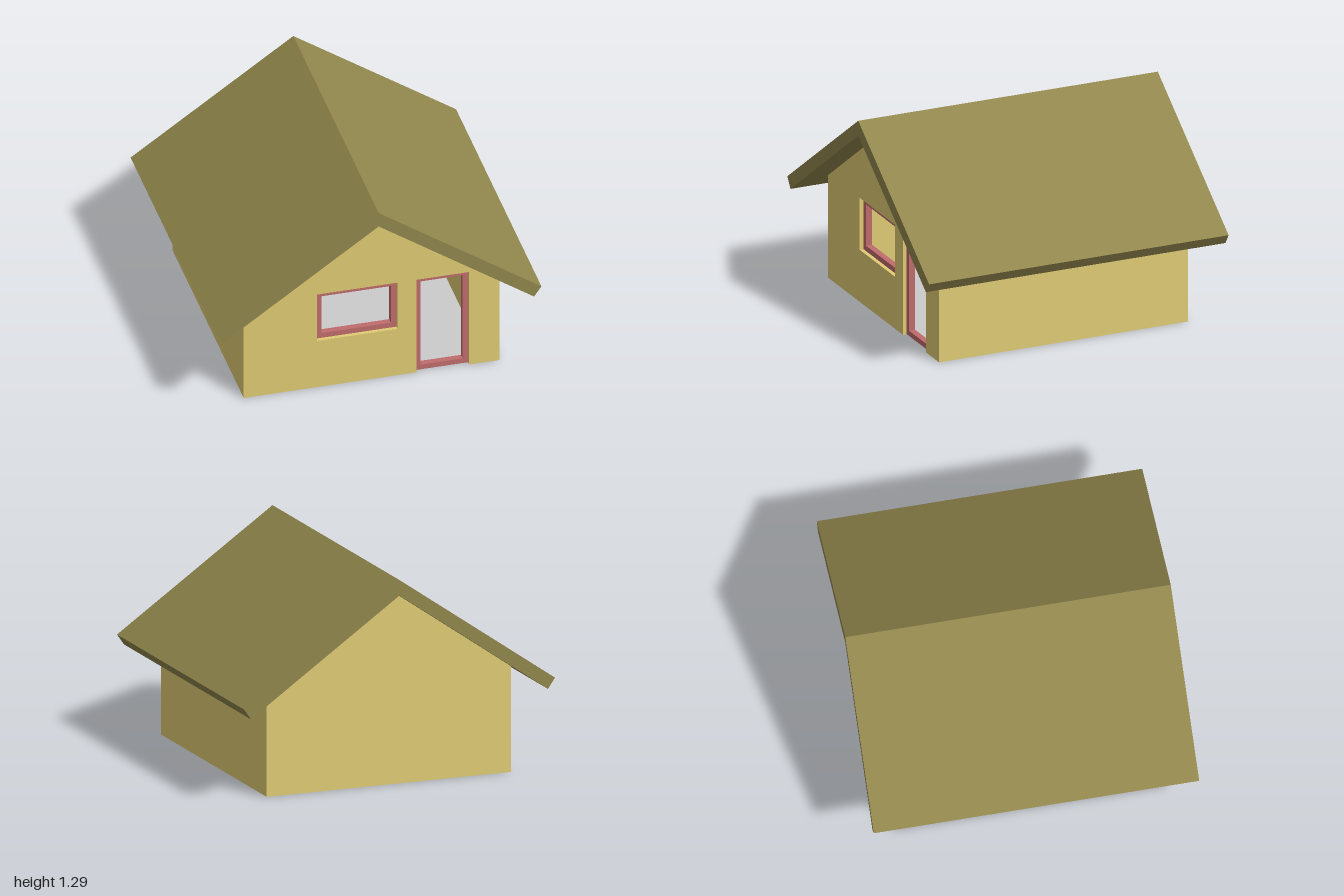
import * as THREE from 'three';

const HALF_W = 0.785, HALF_D = 0.815, WALL = 0.08; // house footprint and wall thickness
const APEX = 1.195, SLOPE = 0.696;                 // underside of the roof
const ROOF_HALF_D = 0.98;
const FRAME_DEPTH = 0.04, RECESS = 0.025;
const WINDOW = { x0: -0.335, x1: 0.16, y0: 0.33, y1: 0.66, border: 0.034 };
const DOOR = { x0: 0.275, x1: 0.6, y0: 0, y1: 0.66, border: 0.033 };

const mat = (color) => new THREE.MeshStandardMaterial({ color });
const points = (list) => list.map(([x, y]) => new THREE.Vector2(x, y));
const underRoof = (x) => APEX - SLOPE * Math.abs(x);
const rect = ({ x0, x1, y0, y1 }, inset = 0) => points([
  [x0 + inset, y0 + inset], [x1 - inset, y0 + inset],
  [x1 - inset, y1 - inset], [x0 + inset, y1 - inset],
]);

// Extrudes an outline from z0 to z1, cutting out the given holes
function slab(name, outline, holes, z0, z1, material) {
  const shape = new THREE.Shape(outline);
  holes.forEach((h) => shape.holes.push(new THREE.Path(h)));
  const geo = new THREE.ExtrudeGeometry(shape, { depth: z1 - z0, bevelEnabled: false });
  geo.translate(0, 0, z0);
  const mesh = new THREE.Mesh(geo, material);
  mesh.name = name;
  return mesh;
}

export function createModel() {
  const house = new THREE.Group();
  house.name = 'house';
  const wallMat = mat(0xe0cc74), roofMat = mat(0x92874d), frameMat = mat(0xc06c6c);
  const eave = underRoof(HALF_W);
  const inner = HALF_W - WALL;

  // Front gable: the door is a notch in the bottom edge, the window a hole
  house.add(slab('frontWall', points([
    [-HALF_W, 0], [DOOR.x0, 0], [DOOR.x0, DOOR.y1], [DOOR.x1, DOOR.y1], [DOOR.x1, 0],
    [HALF_W, 0], [HALF_W, eave], [0, APEX], [-HALF_W, eave],
  ]), [rect(WINDOW)], HALF_D - WALL, HALF_D, wallMat));

  // Plain back gable
  house.add(slab('backWall', points([
    [-HALF_W, 0], [HALF_W, 0], [HALF_W, eave], [0, APEX], [-HALF_W, eave],
  ]), [], -HALF_D, -HALF_D + WALL, wallMat));

  // Side walls with tops cut to the roof pitch
  for (const [name, s] of [['leftWall', 1], ['rightWall', -1]]) {
    house.add(slab(name, points([
      [s * inner, 0], [s * HALF_W, 0], [s * HALF_W, eave], [s * inner, underRoof(inner)],
    ]), [], -HALF_D + WALL, HALF_D - WALL, wallMat));
  }

  // Roof: one folded slab with square-cut eaves
  house.add(slab('roof', points([
    [0, 1.29], [-1, 0.595], [-0.955, 0.53], [0, APEX], [0.955, 0.53], [1, 0.595],
  ]), [], -ROOF_HALF_D, ROOF_HALF_D, roofMat));

  // Frames set back inside their openings
  for (const [name, o] of [['windowFrame', WINDOW], ['doorFrame', DOOR]]) {
    house.add(slab(name, rect(o), [rect(o, o.border)],
      HALF_D - RECESS - FRAME_DEPTH, HALF_D - RECESS, frameMat));
  }

  // Thin floor between the walls
  const floor = new THREE.Mesh(
    new THREE.BoxGeometry(2 * inner, 0.01, 2 * (HALF_D - WALL)), mat(0xcccccc));
  floor.name = 'floor';
  floor.position.y = 0.005;
  house.add(floor);

  return house;
}
